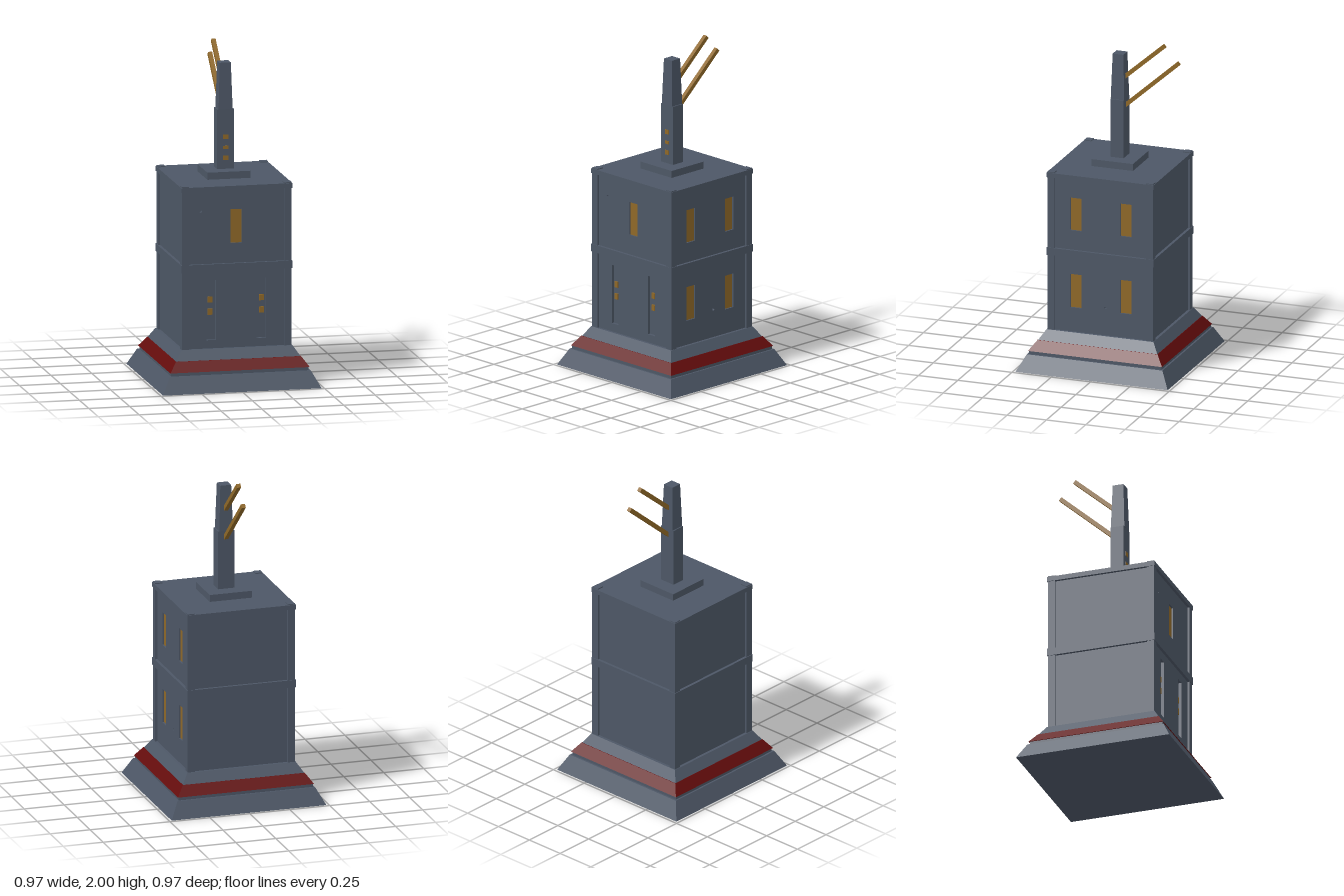
import * as THREE from 'three';

const mat = (name, color) => Object.assign(new THREE.MeshStandardMaterial({ color }), { name });

export function createModel() {
  const slate = mat('slate armour', 0x4d5766);
  const red = mat('dark red band', 0x640c0c);
  const gold = mat('amber', 0x8f6828);
  const root = new THREE.Group();
  root.name = 'watchTower';

  const add = (name, geometry, material, parent = root) => {
    const mesh = new THREE.Mesh(geometry, material);
    mesh.name = name;
    parent.add(mesh);
    return mesh;
  };

  // Box given by half widths in x and z and a height range
  const block = (name, hx, hz, y0, y1, material, x = 0, z = 0, parent = root) => {
    const mesh = add(name, new THREE.BoxGeometry(hx * 2, y1 - y0, hz * 2), material, parent);
    mesh.position.set(x, (y0 + y1) / 2, z);
    return mesh;
  };

  // Square frustum with crisp faces
  const frustum = (name, bottom, top, y0, y1, material) => {
    let g = new THREE.CylinderGeometry(top * Math.SQRT2, bottom * Math.SQRT2, y1 - y0, 4);
    g.rotateY(Math.PI / 4);
    g = g.toNonIndexed();
    g.computeVertexNormals();
    add(name, g, material).position.y = (y0 + y1) / 2;
  };

  // Sloped plinth
  frustum('plinthBase', 0.484, 0.431, 0, 0.1, slate);
  frustum('plinthNeck', 0.42, 0.42, 0.1, 0.12, slate);
  frustum('plinthBand', 0.426, 0.382, 0.12, 0.18, red);
  frustum('plinthTop', 0.379, 0.34, 0.18, 0.24, slate);

  // Tower core, floor band, roof and corner pillars
  const CORE = 0.305, WALL = 0.323;
  block('core', CORE, CORE, 0.24, 1.2, slate);
  block('floorBand', 0.34, 0.34, 0.708, 0.754, slate);
  block('roof', 0.34, 0.34, 1.196, 1.225, slate);
  for (const x of [-1, 1]) for (const z of [-1, 1]) {
    block('cornerPillar', 0.0225, 0.0225, 0.24, 1.231, slate, x * 0.3135, z * 0.3135);
  }

  // Wall panel with rectangular openings [x, halfWidth, y0, y1] and one small round port
  const rect = (path, x, hw, y0, y1) => {
    path.moveTo(x - hw, y0);
    path.lineTo(x + hw, y0);
    path.lineTo(x + hw, y1);
    path.lineTo(x - hw, y1);
    path.closePath();
    return path;
  };
  const wall = (name, angle, openings, port) => {
    const side = new THREE.Group();
    side.name = name;
    side.rotation.y = angle;
    root.add(side);
    const shape = rect(new THREE.Shape(), 0, 0.3, 0.24, 1.2);
    for (const o of openings) shape.holes.push(rect(new THREE.Path(), ...o));
    if (port) {
      const hole = new THREE.Path();
      hole.absarc(port[0], port[1], 0.008, 0, Math.PI * 2, true);
      shape.holes.push(hole);
    }
    const g = new THREE.ExtrudeGeometry(shape, { depth: WALL - CORE, bevelEnabled: false, curveSegments: 4 });
    add('wallPanel', g, slate, side).position.z = CORE;
    return side;
  };
  const pane = (name, parent, x, hw, y0, y1) =>
    block(name, hw, 0.004, y0, y1, gold, x, CORE + 0.004, parent);

  // Front: one tall window over two recessed slots with lamps
  const frontWindow = [0, 0.034, 0.875, 1.08];
  const slots = [-0.154, 0.154].map(x => [x, 0.029, 0.29, 0.655]);
  const front = wall('frontWall', 0, [frontWindow, ...slots], [-0.218, 1.076]);
  pane('frontWindow', front, ...frontWindow);
  for (const x of [-0.157, 0.157]) for (const y of [0.46, 0.534]) {
    pane('slotLamp', front, x, 0.014, y - 0.018, y + 0.018);
  }

  // Left side: two rows of two windows
  const windows = [];
  for (const x of [-0.16, 0.16]) {
    windows.push([x, 0.035, 0.39, 0.6], [x, 0.035, 0.875, 1.08]);
  }
  const left = wall('leftWall', Math.PI / 2, windows, [0.028, 0.412]);
  for (const w of windows) pane('sideWindow', left, ...w);

  // Plain walls
  wall('backWall', Math.PI, []);
  wall('rightWall', -Math.PI / 2, []);

  // Mast on its pad
  block('mastPad', 0.132, 0.132, 1.225, 1.268, slate);
  block('mastShaft', 0.051, 0.042, 1.268, 1.63, slate);
  frustum('mastTop', 0.043, 0.034, 1.63, 1.912, slate);
  for (const [y, h] of [[1.335, 0.014], [1.398, 0.01], [1.463, 0.014]]) {
    block('mastLamp', 0.016, 0.002, y - h, y + h, gold, 0, 0.0425);
  }

  // Slanted rods reaching up and back from the mast
  const rod = (y0, y1, z1) => {
    const a = new THREE.Vector3(0, y0, -0.025), b = new THREE.Vector3(0, y1, z1);
    const mesh = add('slantedRod', new THREE.BoxGeometry(0.025, 0.025, a.distanceTo(b)), gold);
    mesh.position.copy(a).lerp(b, 0.5);
    mesh.lookAt(b);
  };
  rod(1.76, 1.987, -0.284);
  rod(1.578, 1.888, -0.374);

  return root;
}
